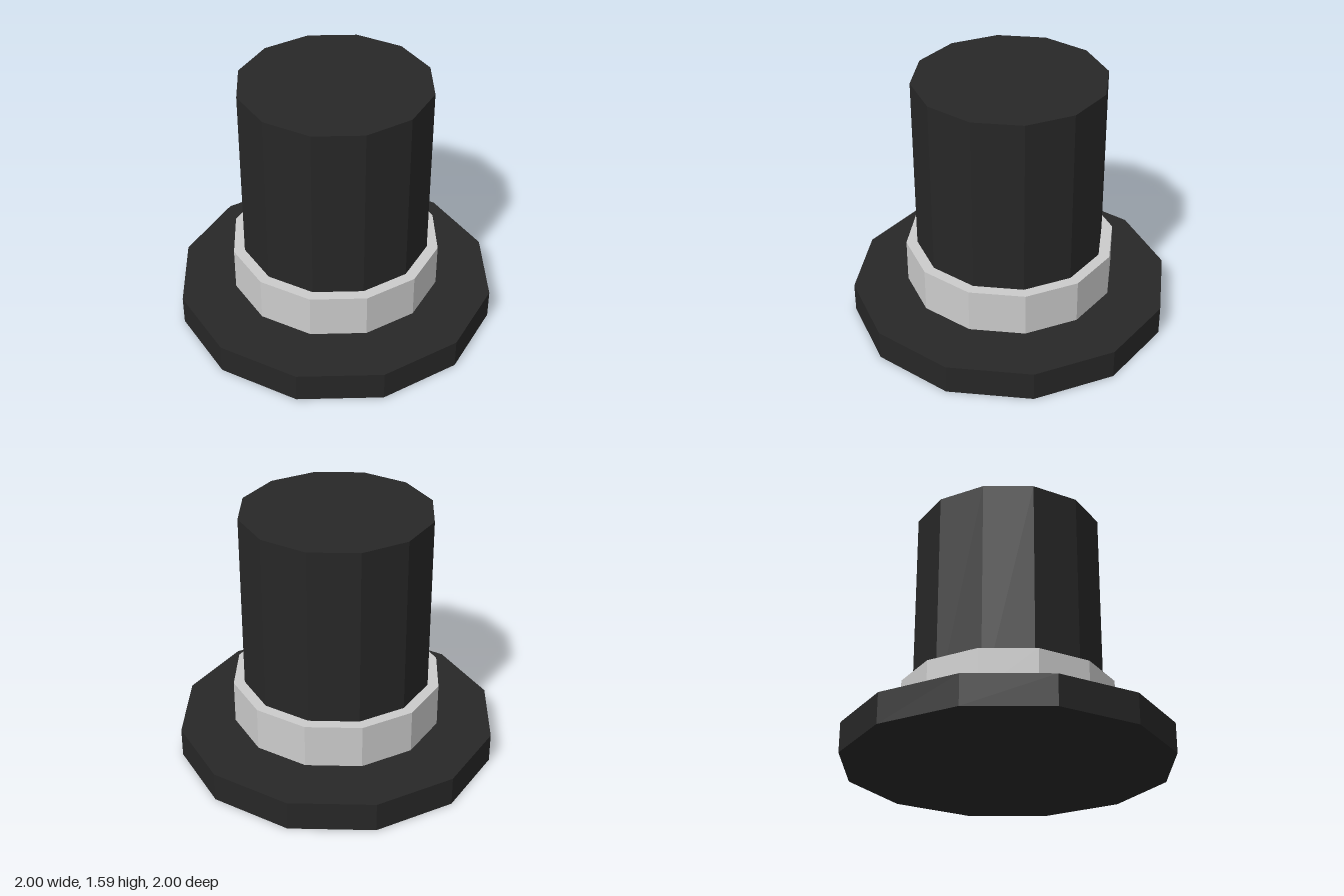
import * as THREE from 'three';

const SIDES = 12;

export function createModel() {
  const hat = new THREE.Group();
  hat.name = 'topHat';

  const felt = new THREE.MeshStandardMaterial({ color: 0x272727, flatShading: true });
  const ribbon = new THREE.MeshStandardMaterial({ color: 0xcccccc, flatShading: true });

  // Twelve-sided solid between two heights
  function addDrum(name, radius, bottom, top, material) {
    const height = top - bottom;
    const mesh = new THREE.Mesh(new THREE.CylinderGeometry(radius, radius, height, SIDES), material);
    mesh.name = name;
    mesh.position.y = bottom + height / 2;
    hat.add(mesh);
  }

  addDrum('brim', 1, 0, 0.185, felt);
  addDrum('crown', 0.586, 0.185, 1.59, felt);
  addDrum('band', 0.655, 0.21, 0.485, ribbon);

  return hat;
}
